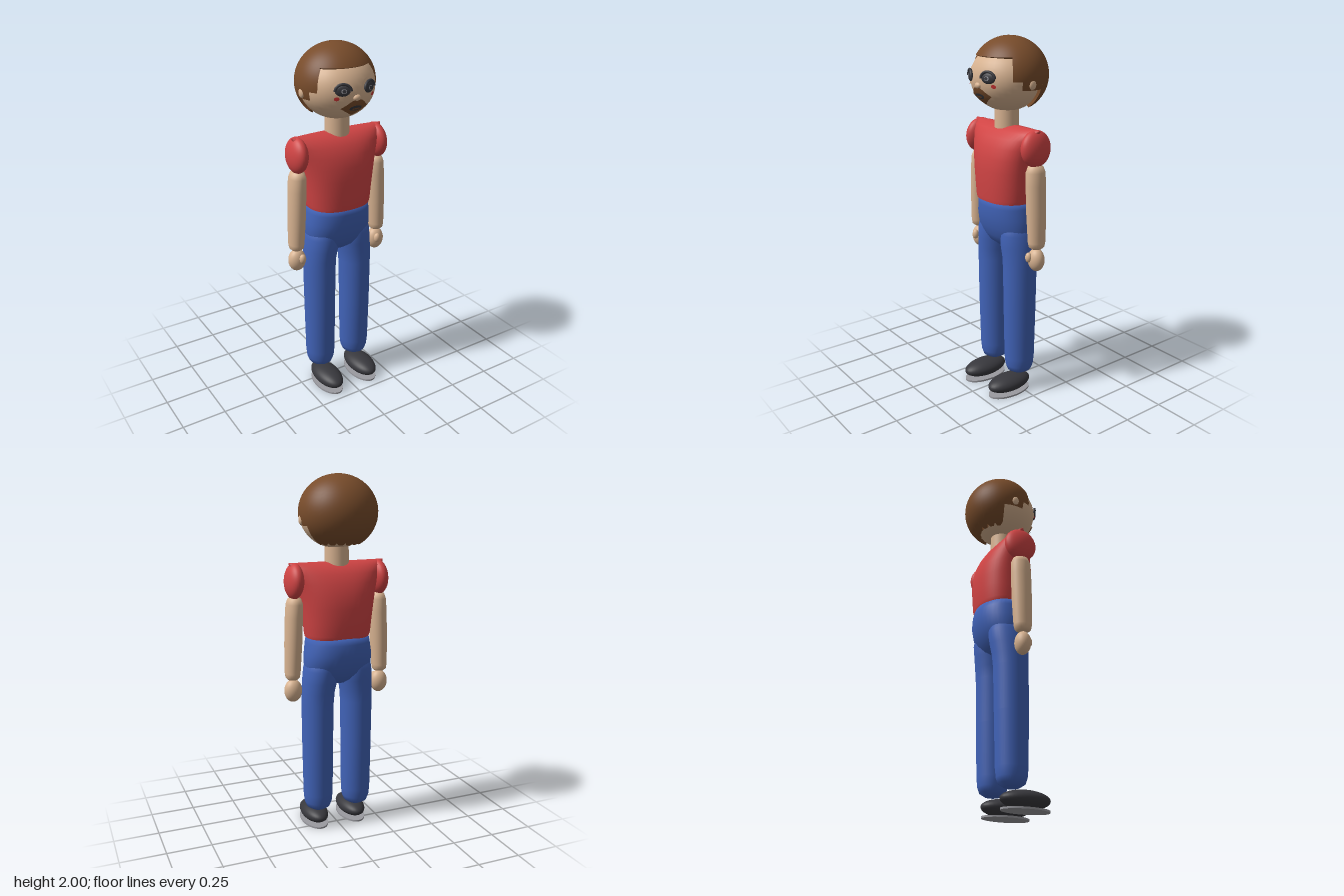
import * as THREE from 'three';

const material = (name, color, side = THREE.FrontSide) => {
  const m = new THREE.MeshStandardMaterial({ color, side });
  m.name = name;
  return m;
};

// Head ellipsoid shared by the skull and everything painted on the face
const HEAD = { y: 1.785, rx: 0.2, ry: 0.175, rz: 0.19 };
const faceZ = (x, y) =>
  HEAD.rz * Math.sqrt(Math.max(0, 1 - (x / HEAD.rx) ** 2 - ((y - HEAD.y) / HEAD.ry) ** 2));

function build(positions, index, normals) {
  const g = new THREE.BufferGeometry();
  g.setAttribute('position', new THREE.Float32BufferAttribute(positions, 3));
  g.setIndex(index);
  if (normals) g.setAttribute('normal', new THREE.Float32BufferAttribute(normals, 3));
  else g.computeVertexNormals();
  return g;
}

// Smooth body through rows [y, centreX, centreZ, radiusX, radiusZ], listed bottom to top
function loft(rows, power = 2, seg = 40) {
  const p = [], index = [];
  const bend = (v) => Math.sign(v) * Math.abs(v) ** (2 / power);
  rows.forEach(([y, cx, cz, rx, rz], i) => {
    for (let j = 0; j < seg; j++) {
      const t = (j / seg) * Math.PI * 2;
      p.push(cx + rx * bend(Math.cos(t)), y, cz + rz * bend(Math.sin(t)));
      if (i < rows.length - 1) {
        const a = i * seg + j, b = i * seg + ((j + 1) % seg);
        index.push(a, a + seg, b, b, a + seg, b + seg);
      }
    }
  });
  return build(p, index);
}

// Thin patch wrapped on the face; outline(t) gives the offset of its edge from the centre
function facePatch(cx, cy, lift, outline, seg = 40, rings = 5) {
  const p = [], index = [];
  for (let i = 0; i <= rings; i++) {
    for (let j = 0; j < seg; j++) {
      const [dx, dy] = outline((j / seg) * Math.PI * 2);
      const x = cx + (dx * i) / rings, y = cy + (dy * i) / rings;
      p.push(x, y, faceZ(x, y) + lift);
      if (i < rings) {
        const a = i * seg + j, b = i * seg + ((j + 1) % seg);
        index.push(a, a + seg, b, b, a + seg, b + seg);
      }
    }
  }
  return build(p, index);
}
const oval = (rx, ry) => (t) => [rx * Math.cos(t), ry * Math.sin(t)];

// Hair shell whose lower edge steps around forehead, sideburns, ears and nape
function hairGeometry() {
  const rx = 0.215, ry = 0.2, rz = 0.2, cy = 1.8, cz = -0.02, n = 20;
  const bands = [[-55, 55, 1.9], [55, 70, 1.78], [70, 106, 1.735], [106, 254, 1.635],
    [254, 290, 1.735], [290, 305, 1.78]];
  const columns = [];
  for (const [from, to, y] of bands) {
    const steps = Math.ceil((to - from) / 5);
    for (let k = 0; k <= steps; k++) {
      const ragged = y < 1.7 && k % 4 === 2 ? 0.012 : 0;
      columns.push([THREE.MathUtils.degToRad(from + ((to - from) * k) / steps), y + ragged]);
    }
  }
  columns.push(columns[0]);
  const p = [], normals = [], index = [], w = n + 2;
  columns.forEach(([a, y], c) => {
    const end = Math.acos((y - cy) / ry);
    for (let k = 0; k < w; k++) {
      const phi = (end * Math.min(k, n)) / n, s = k > n ? 0.92 : 1;
      const d = [Math.sin(phi) * Math.sin(a), Math.cos(phi), Math.sin(phi) * Math.cos(a)];
      p.push(s * rx * d[0], cy + s * ry * d[1], cz + s * rz * d[2]);
      normals.push(...new THREE.Vector3(d[0] / rx, d[1] / ry, d[2] / rz).normalize().toArray());
      if (c < columns.length - 1 && k < w - 1) {
        const q = c * w + k;
        index.push(q, q + 1, q + w, q + w, q + 1, q + w + 1);
      }
    }
  });
  return build(p, index, normals);
}

export function createModel() {
  const model = new THREE.Group();
  model.name = 'standingMan';
  const skin = material('skin', 0xd8b391);
  const shirt = material('shirtRed', 0xd04444, THREE.DoubleSide);
  const denim = material('trouserBlue', 0x4163b8);
  const brown = material('hairBrown', 0x784c2b, THREE.DoubleSide);
  const dark = material('shoeBlack', 0x38383d);
  const grey = material('soleGrey', 0x9a9aa0);
  const red = material('cheekRed', 0xcc3333);

  const add = (name, geometry, mat, x = 0, y = 0, z = 0) => {
    const mesh = new THREE.Mesh(geometry, mat);
    mesh.name = name;
    mesh.position.set(x, y, z);
    model.add(mesh);
    return mesh;
  };
  const ball = (name, mat, x, y, z, rx, ry, rz) => {
    const mesh = add(name, new THREE.SphereGeometry(1, 36, 24), mat, x, y, z);
    mesh.scale.set(rx, ry, rz);
    return mesh;
  };

  // Head, hair and neck
  ball('head', skin, 0, HEAD.y, 0, HEAD.rx, HEAD.ry, HEAD.rz);
  add('hair', hairGeometry(), brown);
  add('neck', new THREE.CylinderGeometry(0.064, 0.066, 0.14, 36), skin, 0, 1.59, 0);

  // Nose, moustache with beard, and mouth
  ball('nose', skin, 0, 1.755, 0.184, 0.022, 0.017, 0.016);
  add('beard', facePatch(0, 1.702, 0.008, (t) => {
    const c = Math.cos(t), s = Math.sin(t);
    const r = 1 / (Math.abs(c) / 0.08 + Math.abs(s) / 0.05);
    const dip = s > 0 ? 0.012 * Math.sin(2 * t) * Math.sign(c) : 0;
    return [c * r, s * r * (s > 0 ? 0.85 : 1) + dip];
  }), brown);
  add('mouth', facePatch(0, 1.7, 0.012, oval(0.036, 0.015)), dark);
  add('lips', facePatch(0, 1.697, 0.015, oval(0.024, 0.005)), brown);

  // Shirt body with a flat shoulder line
  add('shirt', loft([
    [1.13, 0, 0, 0.178, 0.143], [1.15, 0, -0.002, 0.183, 0.148], [1.22, 0, -0.003, 0.19, 0.152],
    [1.3, 0, -0.003, 0.2, 0.154], [1.37, 0, -0.002, 0.212, 0.147], [1.43, 0, 0, 0.228, 0.13],
    [1.48, 0, 0, 0.248, 0.105], [1.515, 0, 0, 0.265, 0.073], [1.535, 0, 0, 0.276, 0.035],
    [1.54, 0, 0, 0.274, 0],
  ], 2.35, 48), shirt);

  // Hips
  add('hips', loft([
    [0.855, 0, 0, 0, 0], [0.865, 0, 0, 0.06, 0.05], [0.89, 0, -0.003, 0.13, 0.085],
    [0.93, 0, -0.007, 0.18, 0.112], [0.98, 0, -0.009, 0.193, 0.133], [1.04, 0, -0.01, 0.19, 0.147],
    [1.1, 0, -0.007, 0.182, 0.147], [1.14, 0, -0.004, 0.174, 0.14], [1.15, 0, 0, 0, 0],
  ], 2.2), denim);

  for (const s of [1, -1]) {
    const side = s > 0 ? 'left' : 'right';

    // Face details
    ball(side + 'Ear', skin, s * 0.205, 1.765, -0.008, 0.013, 0.027, 0.022);
    add(side + 'EyeSocket', facePatch(s * 0.078, 1.8, 0.003, oval(0.055, 0.048)), skin);
    const eye = ball(side + 'Eye', dark, s * 0.078, 1.797, faceZ(0.078, 1.797) + 0.002, 0.04, 0.028, 0.012);
    eye.rotation.y = s * 0.42;
    const lid = add(side + 'Eyelashes', new THREE.TorusGeometry(0.04, 0.008, 10, 28, Math.PI), dark,
      s * 0.078, 1.797, faceZ(0.078, 1.797) + 0.006);
    lid.scale.y = 0.85;
    lid.rotation.y = s * 0.42;
    add(side + 'Iris', facePatch(s * 0.078, 1.797, 0.016, oval(0.013, 0.012), 24), grey);
    add(side + 'Pupil', facePatch(s * 0.078, 1.797, 0.018, oval(0.009, 0.009), 24), dark);
    add(side + 'CheekDot', facePatch(s * 0.106, 1.757, 0.007, oval(0.012, 0.01), 24), red);

    // Sleeve, arm, hand and thumb
    ball(side + 'Sleeve', shirt, s * 0.246, 1.443, 0, 0.049, 0.097, 0.092).rotation.z = s * 0.06;
    add(side + 'Arm', loft([
      [0.9, s * 0.262, 0, 0, 0], [0.903, s * 0.262, 0, 0.028, 0.03], [0.915, s * 0.262, 0, 0.039, 0.045],
      [0.94, s * 0.262, 0, 0.043, 0.05], [1.1, s * 0.256, 0, 0.048, 0.056], [1.25, s * 0.25, 0, 0.048, 0.057],
      [1.32, s * 0.247, 0, 0.046, 0.055], [1.35, s * 0.246, 0, 0.036, 0.043], [1.365, s * 0.246, 0, 0, 0],
    ], 2, 32), skin);
    ball(side + 'Hand', skin, s * 0.26, 0.838, 0, 0.05, 0.064, 0.043);
    ball(side + 'Thumb', skin, s * 0.247, 0.855, 0.042, 0.019, 0.028, 0.018);

    // Trouser leg
    add(side + 'Leg', loft([
      [0.105, s * 0.117, 0, 0, 0], [0.112, s * 0.117, 0, 0.04, 0.042], [0.13, s * 0.117, 0, 0.067, 0.07],
      [0.16, s * 0.117, 0, 0.079, 0.08], [0.21, s * 0.117, 0, 0.084, 0.085], [0.5, s * 0.118, 0, 0.087, 0.092],
      [0.75, s * 0.117, -0.001, 0.09, 0.096], [0.82, s * 0.114, -0.003, 0.092, 0.1],
      [0.88, s * 0.106, -0.005, 0.097, 0.106], [0.95, s * 0.1, -0.008, 0.096, 0.112],
      [1.04, s * 0.09, -0.01, 0.085, 0.1], [1.06, s * 0.09, -0.01, 0, 0],
    ], 2, 36), denim);

    // Shoe on a thin oval sole
    ball(side + 'Shoe', dark, s * 0.117, 0.058, 0.074, 0.073, 0.048, 0.138);
    const sole = add(side + 'Sole', new THREE.CylinderGeometry(1, 1, 0.01, 40), grey, s * 0.117, 0.005, 0.074);
    sole.scale.set(0.073, 1, 0.135);
  }
  return model;
}
